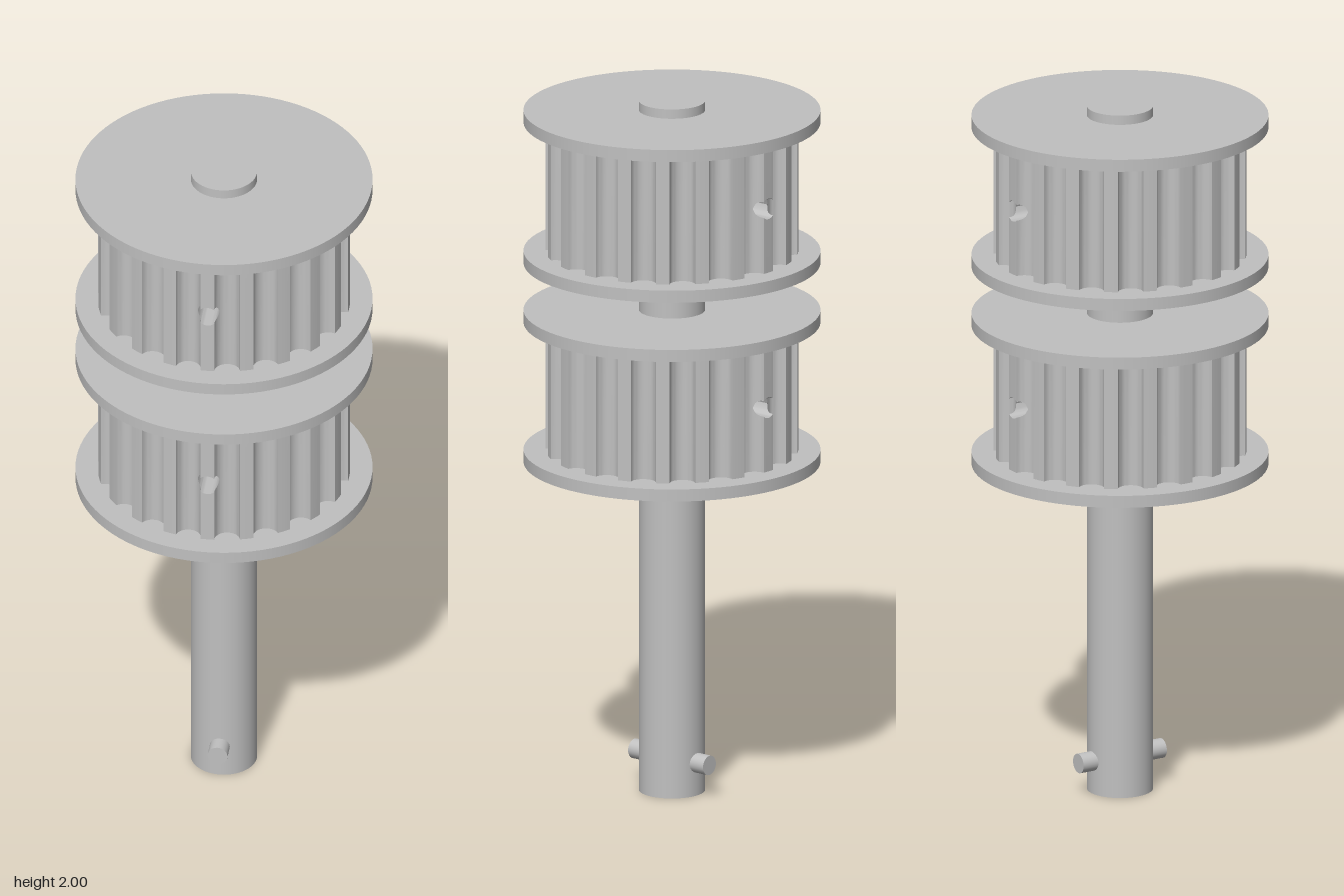
import * as THREE from 'three';
import { toCreasedNormals } from 'three/addons/utils/BufferGeometryUtils.js';

const TEETH = 20;
const TIP_R = 0.353;      // radius over the tooth tips
const GROOVE_R = 0.036;   // radius of each round groove
const HOLE_R = 0.03;      // radial screw hole
const SHAFT_R = 0.0925;

// Perimeter of the toothed drum as [x, z] points, starting on the front tooth
function drumOutline() {
  const points = [];
  const pitch = (2 * Math.PI) / TEETH;
  const halfGroove = 2 * Math.asin(GROOVE_R / 2 / TIP_R);
  const halfTip = pitch / 2 - halfGroove;
  const delta = halfGroove / 2;
  for (let i = 0; i < TEETH; i++) {
    const tooth = i * pitch;
    for (let k = 0; k < 8; k++) {
      const t = tooth - halfTip + (2 * halfTip * k) / 8;
      points.push([TIP_R * Math.sin(t), TIP_R * Math.cos(t)]);
    }
    const c = tooth + pitch / 2;
    for (let k = 0; k < 16; k++) {
      const phi = delta + ((Math.PI - 2 * delta) * k) / 16;
      const u = TIP_R - GROOVE_R * Math.sin(phi);
      const v = -GROOVE_R * Math.cos(phi);
      points.push([u * Math.sin(c) + v * Math.cos(c), u * Math.cos(c) - v * Math.sin(c)]);
    }
  }
  return points;
}

// Grooved wall with a round hole cut through the front and back teeth
function drumGeometry(y0, y1, holeY) {
  const positions = [];
  const quad = (a, b, c, d) => positions.push(...a, ...b, ...c, ...a, ...c, ...d);
  const outline = drumOutline();
  const half = (x) => Math.sqrt(Math.max(0, HOLE_R * HOLE_R - x * x));
  outline.forEach(([ax, az], i) => {
    const [bx, bz] = outline[(i + 1) % outline.length];
    const ha = half(ax), hb = half(bx);
    if (ha === 0 && hb === 0) {
      quad([ax, y0, az], [bx, y0, bz], [bx, y1, bz], [ax, y1, az]);
      return;
    }
    // wall below and above the hole
    quad([ax, y0, az], [bx, y0, bz], [bx, holeY - hb, bz], [ax, holeY - ha, az]);
    quad([ax, holeY + ha, az], [bx, holeY + hb, bz], [bx, y1, bz], [ax, y1, az]);
    // inside of the hole, running in to the shaft
    const inner = Math.sign(az) * 0.08;
    quad([ax, holeY + ha, az], [ax, holeY + ha, inner], [bx, holeY + hb, inner], [bx, holeY + hb, bz]);
    quad([bx, holeY - hb, bz], [bx, holeY - hb, inner], [ax, holeY - ha, inner], [ax, holeY - ha, az]);
  });
  const geometry = new THREE.BufferGeometry();
  geometry.setAttribute('position', new THREE.Float32BufferAttribute(positions, 3));
  return toCreasedNormals(geometry, 0.6);
}

export function createModel() {
  const model = new THREE.Group();
  model.name = 'doublePulleyShaft';
  const steel = new THREE.MeshStandardMaterial({ color: 0xc0c0c0 });
  steel.name = 'steel grey';

  const add = (parent, name, geometry, y) => {
    const mesh = new THREE.Mesh(geometry, steel);
    mesh.name = name;
    mesh.position.y = y;
    parent.add(mesh);
    return mesh;
  };

  // Shaft and the cross pin near its foot
  add(model, 'shaft', new THREE.CylinderGeometry(SHAFT_R, SHAFT_R, 2, 64), 1);
  const pin = add(model, 'crossPin', new THREE.CylinderGeometry(0.028, 0.028, 0.274, 24), 0.095);
  pin.rotation.x = Math.PI / 2;

  // Two toothed pulleys, each between a pair of flanges
  const flangeHeight = 0.035;
  const pulleys = [
    { name: 'lowerPulley', bottom: 0.953, top: 1.393, holeY: 1.173 },
    { name: 'upperPulley', bottom: 1.53, top: 1.973, holeY: 1.75 },
  ];
  for (const { name, bottom, top, holeY } of pulleys) {
    const pulley = new THREE.Group();
    pulley.name = name;
    const flange = new THREE.CylinderGeometry(0.415, 0.415, flangeHeight, 96);
    add(pulley, 'bottomFlange', flange, bottom + flangeHeight / 2);
    add(pulley, 'topFlange', flange, top - flangeHeight / 2);
    add(pulley, 'toothedDrum', drumGeometry(bottom + flangeHeight, top - flangeHeight, holeY), 0);
    model.add(pulley);
  }
  return model;
}
